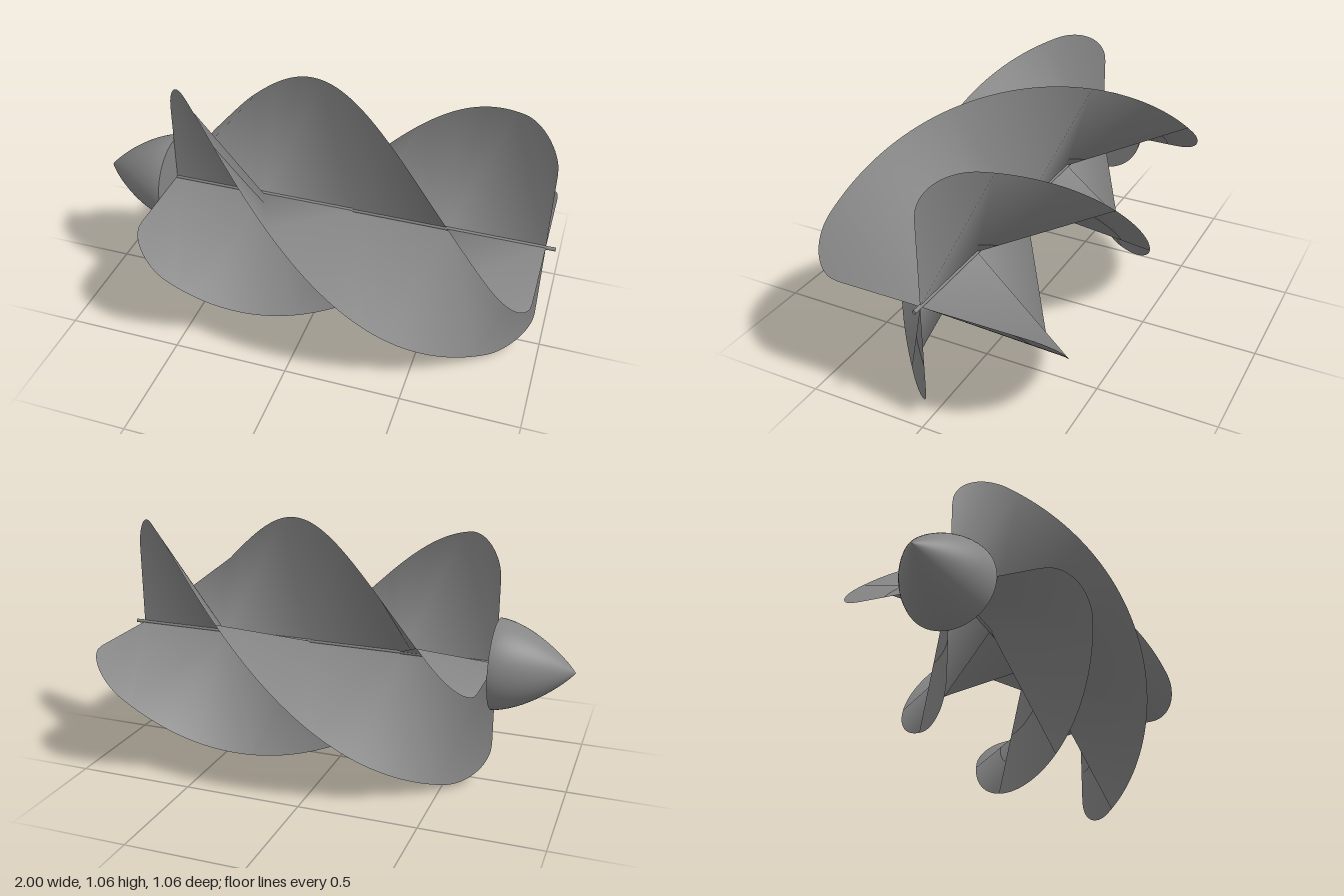
import * as THREE from 'three';

const R = 0.529;              // blade tip radius, also the axis height
const X0 = -0.68, X1 = 0.96;  // blade span along the axis
const LENGTH = X1 - X0;
const PITCH = LENGTH / Math.PI;
const FILLET = 0.17;          // rounded outer corners
const FANS = 4, STEPS = 512;  // axis divisions and rim divisions of one blade

// Outer radius of a blade at distance d from its nearest end
function tipRadius(d) {
  if (d >= FILLET) return R;
  return R - FILLET + Math.sqrt(FILLET ** 2 - (FILLET - d) ** 2);
}

// Helical sheet turning half a revolution: conical fans spread from a few
// points on the axis to the smooth rim, joined by long flat triangles
function bladeGeometry(startAngle) {
  const positions = [], normals = [], index = [];
  const addVertex = (s, r) => {
    const a = startAngle + Math.PI * s, c = Math.cos(a), n = Math.sin(a);
    positions.push(X0 + s * LENGTH, r * c, r * n);
    const len = Math.hypot(r, PITCH);
    normals.push(r / len, PITCH * n / len, -PITCH * c / len);
  };
  for (let k = 0; k <= FANS; k++) addVertex(k / FANS, 0);
  for (let i = 0; i <= STEPS; i++) {
    const s = i / STEPS;
    addVertex(s, tipRadius(Math.min(s, 1 - s) * LENGTH));
  }
  const rim = FANS + 1;
  for (let i = 0; i < STEPS; i++) {
    const node = Math.round((i + 0.5) / STEPS * FANS);
    index.push(node, rim + i, rim + i + 1);
  }
  for (let k = 0; k < FANS; k++) {
    index.push(k, rim + (k + 0.5) * STEPS / FANS, k + 1);
  }
  const geo = new THREE.BufferGeometry();
  geo.setAttribute('position', new THREE.Float32BufferAttribute(positions, 3));
  geo.setAttribute('normal', new THREE.Float32BufferAttribute(normals, 3));
  geo.setIndex(index);
  return geo;
}

export function createModel() {
  const model = new THREE.Group();
  const metal = new THREE.MeshStandardMaterial({ color: 0x868686, side: THREE.DoubleSide });

  const add = (name, geo) => {
    const mesh = new THREE.Mesh(geo, metal);
    mesh.name = name;
    mesh.position.y = R;
    model.add(mesh);
  };

  // Four helical blades
  for (let k = 0; k < 4; k++) add(`blade${k + 1}`, bladeGeometry(k * Math.PI / 2));

  // Central shaft, sticking out past the blades at the tail
  const shaft = new THREE.CylinderGeometry(0.008, 0.008, 1 - X0, 24);
  shaft.rotateZ(-Math.PI / 2).translate((1 + X0) / 2, 0, 0);
  add('shaft', shaft);

  // Ogive nose with a slightly blunt tip
  const noseLength = 1 + X0, noseRadius = 0.19;
  const profile = [];
  for (let i = 0; i <= 32; i++) {
    const s = (i / 32) ** 1.5;
    profile.push(new THREE.Vector2(noseRadius * (1 - (1 - s) ** 1.6) ** 0.9, -1 + s * noseLength));
  }
  const nose = new THREE.LatheGeometry(profile, 64);
  nose.rotateZ(-Math.PI / 2);
  add('noseCone', nose);

  // Flat back of the nose
  const cap = new THREE.CircleGeometry(noseRadius, 64);
  cap.rotateY(Math.PI / 2).translate(X0, 0, 0);
  add('noseBack', cap);

  return model;
}
